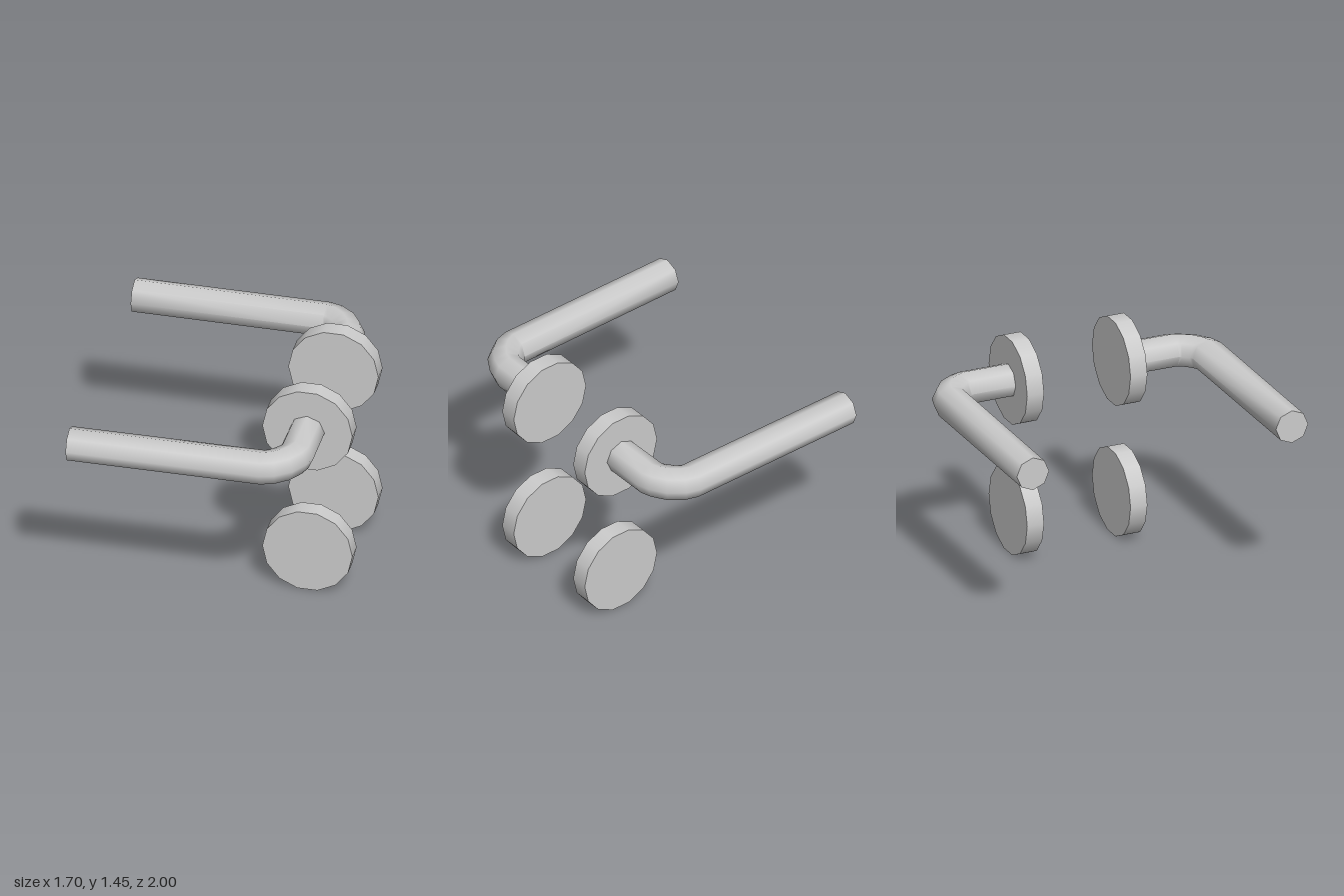
import * as THREE from 'three';
import { toCreasedNormals } from 'three/addons/utils/BufferGeometryUtils.js';

const SIDES = 8;
const HANDLE_Y = 1.172;

// Bend sections in plan: outer x, outer z, inner x, inner z
const SECTIONS = [
  [0.67, 0.38, 0.445, 0.38],
  [0.67, 0.71, 0.44, 0.71],
  [0.645, 0.79, 0.43, 0.722],
  [0.58, 0.895, 0.41, 0.74],
  [0.48, 0.97, 0.395, 0.757],
  [0.385, 0.998, 0.38, 0.771],
  [-0.85, 0.998, -0.85, 0.777],
];

// Octagonal bar lofted through the sections; side = 1 front, -1 back
function leverGeometry(side) {
  const pos = [], index = [];
  const tri = (a, b, c) => (side > 0 ? index.push(a, b, c) : index.push(a, c, b));
  for (const [ox, oz, ix, iz] of SECTIONS) {
    for (let k = 0; k < SIDES; k++) {
      const a = (k / SIDES) * Math.PI * 2;
      const w = (1 + Math.cos(a)) / 2;
      pos.push(ix + (ox - ix) * w, HANDLE_Y + 0.109 * Math.sin(a), side * (iz + (oz - iz) * w));
    }
  }
  const last = (SECTIONS.length - 1) * SIDES;
  for (let r = 0; r < last; r += SIDES) {
    for (let k = 0; k < SIDES; k++) {
      const a = r + k, b = r + ((k + 1) % SIDES);
      tri(a, b, a + SIDES);
      tri(b, b + SIDES, a + SIDES);
    }
  }
  // End caps
  for (let k = 1; k < SIDES - 1; k++) {
    tri(0, k + 1, k);
    tri(last, last + k, last + k + 1);
  }
  const g = new THREE.BufferGeometry();
  g.setAttribute('position', new THREE.Float32BufferAttribute(pos, 3));
  g.setIndex(index);
  return toCreasedNormals(g, 0.9);
}

export function createModel() {
  const model = new THREE.Group();
  const material = new THREE.MeshStandardMaterial({ color: 0xcccccc });
  const add = (name, geometry) => {
    const mesh = new THREE.Mesh(geometry, material);
    mesh.name = name;
    model.add(mesh);
    return mesh;
  };

  // Fourteen-sided round plate with a corner pointing along +x
  const plate = new THREE.CylinderGeometry(0.288, 0.288, 0.115, 14);
  plate.rotateY(Math.PI / 2).rotateX(Math.PI / 2);

  for (const [side, label] of [[1, 'front'], [-1, 'back']]) {
    add(label + 'Lever', leverGeometry(side));
    add(label + 'HandlePlate', plate).position.set(0.56, HANDLE_Y, side * 0.354);
    add(label + 'LockPlate', plate).position.set(0.56, 0.287, side * 0.354);
  }
  return model;
}
